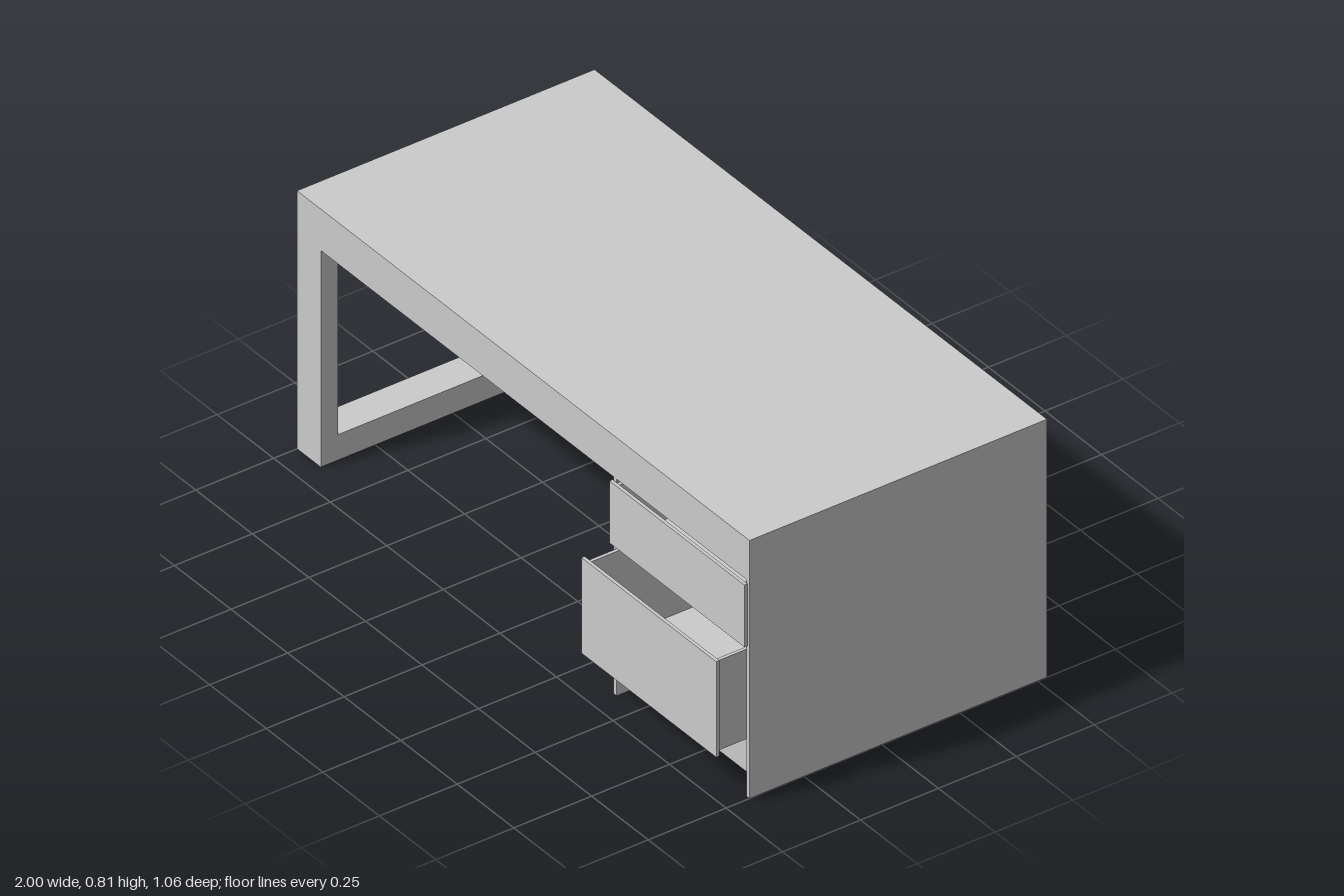
import * as THREE from 'three';

const material = new THREE.MeshStandardMaterial({ color: 0xcccccc, flatShading: true });

// Box given by its min and max on each axis
function box(name, [x0, x1], [y0, y1], [z0, z1]) {
  const mesh = new THREE.Mesh(new THREE.BoxGeometry(x1 - x0, y1 - y0, z1 - z0), material);
  mesh.position.set((x0 + x1) / 2, (y0 + y1) / 2, (z0 + z1) / 2);
  mesh.name = name;
  return mesh;
}

const BACK = -0.53, FRONT = 0.425, UNDER = 0.68, TOP = 0.81;
const DEPTH = [BACK, FRONT];
const WALL = 0.013;

// Open-topped drawer with a slightly larger front panel
function drawer(name, y0, y1, front) {
  const g = new THREE.Group();
  g.name = name;
  const x0 = 0.413, x1 = 0.987, back = front - 0.83, inner = front - 0.01;
  const b0 = y0 + 0.01, b1 = y1 - 0.008;
  g.add(
    box('drawerFront', [0.402, 0.998], [y0, y1], [inner, front]),
    box('drawerFloor', [x0, x1], [b0, b0 + 0.01], [back, inner]),
    box('drawerBack', [x0, x1], [b0, b1], [back, back + 0.01]),
    box('drawerRightSide', [x0, x0 + 0.01], [b0, b1], [back, inner]),
    box('drawerLeftSide', [x1 - 0.01, x1], [b0, b1], [back, inner])
  );
  return g;
}

// Open rectangular leg frame, its outline drawn in the z-y plane
function legFrame() {
  const shape = new THREE.Shape([
    [BACK, 0], [FRONT, 0], [FRONT, UNDER], [BACK, UNDER]
  ].map(([z, y]) => new THREE.Vector2(-z, y)));
  shape.holes.push(new THREE.Path([
    [BACK + 0.055, 0.08], [BACK + 0.055, UNDER], [FRONT - 0.055, UNDER], [FRONT - 0.055, 0.08]
  ].map(([z, y]) => new THREE.Vector2(-z, y - (y === UNDER ? 0.001 : 0)))));
  const geometry = new THREE.ExtrudeGeometry(shape, { depth: 0.105, bevelEnabled: false });
  geometry.rotateY(Math.PI / 2);
  geometry.translate(-1, 0, 0);
  const mesh = new THREE.Mesh(geometry, material);
  mesh.name = 'legFrame';
  return mesh;
}

export function createModel() {
  const desk = new THREE.Group();
  desk.name = 'desk';
  desk.add(box('desktop', [-1, 1], [UNDER, TOP], DEPTH), legFrame());

  // Hollow cabinet with a recessed plinth
  const cabinet = new THREE.Group();
  cabinet.name = 'cabinet';
  cabinet.add(
    box('cabinetRightSide', [0.4, 0.4 + WALL], [0, UNDER], DEPTH),
    box('cabinetLeftSide', [1 - WALL, 1], [0, UNDER], DEPTH),
    box('cabinetBack', [0.4 + WALL, 1 - WALL], [0, UNDER], [BACK, BACK + WALL]),
    box('plinth', [0.4 + WALL, 1 - WALL], [0.002, 0.17], [BACK + WALL, 0.36])
  );

  // Upper drawer nearly shut, lower one pulled out
  cabinet.add(
    drawer('upperDrawer', 0.48, 0.675, 0.44),
    drawer('lowerDrawer', 0.17, 0.47, 0.53)
  );
  desk.add(cabinet);
  return desk;
}
